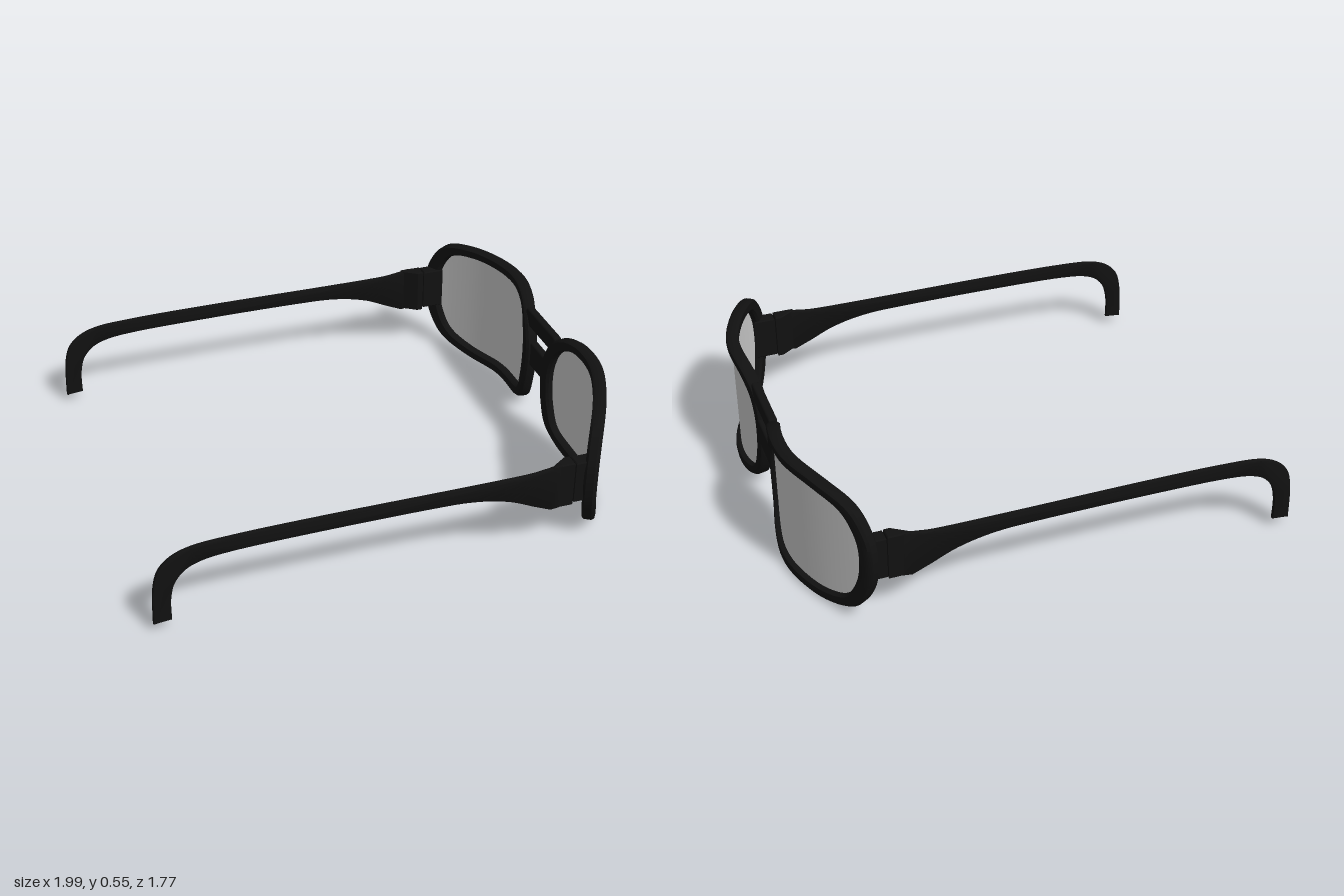
import * as THREE from 'three';
import { mergeVertices, toCreasedNormals } from 'three/addons/utils/BufferGeometryUtils.js';
import { RoundedBoxGeometry } from 'three/addons/geometries/RoundedBoxGeometry.js';

const black = new THREE.MeshStandardMaterial({ color: 0x111111 });
const lensMaterial = new THREE.MeshStandardMaterial({ color: 0xcccccc, side: THREE.DoubleSide });

// Wrap curve of the front: depth x as a function of sideways z
const wrap = new THREE.CubicInterpolant(
  [-0.1, 0, 0.1, 0.2, 0.33, 0.45, 0.6, 0.75, 0.872, 0.96],
  [0.945, 0.941, 0.945, 0.967, 0.982, 0.971, 0.918, 0.842, 0.767, 0.71], 1);
const wrapAt = z => wrap.evaluate(z)[0];

// Point on the wrapped front, pushed back by depth along the normal
function bend(z, y, depth) {
  const slope = (wrapAt(z + 0.005) - wrapAt(z - 0.005)) / 0.01;
  const len = Math.hypot(1, slope);
  return [wrapAt(z) - depth / len, y, z + depth * slope / len];
}

const v2 = points => points.map(p => new THREE.Vector2(...p));
function closedCurve(points) {
  return new THREE.CatmullRomCurve3(points.map(([z, y]) => new THREE.Vector3(z, y, 0)), true, 'centripetal');
}

// Rim edges as [z, y], matched point for point
const outer = closedCurve([
  [0.872, 0.30], [0.855, 0.41], [0.79, 0.51], [0.66, 0.548], [0.45, 0.556], [0.23, 0.545],
  [0.13, 0.495], [0.075, 0.39], [0.066, 0.29], [0.082, 0.18], [0.125, 0.075], [0.23, 0.014],
  [0.45, 0.004], [0.66, 0.01], [0.79, 0.06], [0.855, 0.17]]);
const inner = closedCurve([
  [0.815, 0.30], [0.80, 0.40], [0.745, 0.48], [0.63, 0.51], [0.45, 0.515], [0.25, 0.505],
  [0.165, 0.455], [0.127, 0.37], [0.12, 0.28], [0.135, 0.18], [0.175, 0.09], [0.27, 0.055],
  [0.45, 0.048], [0.64, 0.052], [0.75, 0.095], [0.80, 0.185]]);

// Surface from rings: around the outline (closed) by rows
function ringSurface(around, rows, closeRows, pointAt) {
  const positions = [], index = [];
  for (let i = 0; i < around; i++)
    for (let j = 0; j < rows; j++) positions.push(...pointAt(i / around, j));
  for (let i = 0; i < around; i++) {
    const n = (i + 1) % around;
    for (let j = 0; j < (closeRows ? rows : rows - 1); j++) {
      const k = (j + 1) % rows;
      const a = i * rows + j, b = n * rows + j, c = n * rows + k, d = i * rows + k;
      index.push(a, b, d, b, c, d);
    }
  }
  const g = new THREE.BufferGeometry();
  g.setAttribute('position', new THREE.Float32BufferAttribute(positions, 3));
  g.setIndex(index);
  g.computeVertexNormals();
  return g;
}

function rimGeometry() {
  // Cross-section: [fraction from inner to outer edge, depth]
  const section = [[0, 0.012], [0.15, 0.002], [0.5, 0], [0.85, 0.002], [1, 0.012],
    [1, 0.042], [0.85, 0.052], [0.15, 0.052], [0, 0.042]];
  const g = ringSurface(112, section.length, true, (t, j) => {
    const p = inner.getPoint(t).lerp(outer.getPoint(t), section[j][0]);
    return bend(p.x, p.y, section[j][1]);
  });
  return toCreasedNormals(g, 0.7);
}

function lensGeometry() {
  const center = new THREE.Vector3(0.46, 0.28, 0);
  return ringSurface(112, 11, false, (t, j) => {
    const p = center.clone().lerp(inner.getPoint(t), j / 10 * 1.02);
    return bend(p.x, p.y, 0.022);
  });
}

function templeGeometry() {
  const shape = new THREE.Shape();
  shape.moveTo(0.635, 0.39);
  shape.splineThru(v2([[0.57, 0.378], [0.48, 0.37], [0.2, 0.368], [-0.3, 0.368], [-0.65, 0.362],
    [-0.83, 0.345], [-0.925, 0.29], [-0.96, 0.2], [-0.968, 0.035]]));
  shape.lineTo(-0.897, 0.042);
  shape.splineThru(v2([[-0.895, 0.14], [-0.87, 0.22], [-0.80, 0.275], [-0.65, 0.298], [-0.3, 0.306],
    [0.1, 0.306], [0.28, 0.298], [0.42, 0.268], [0.53, 0.22], [0.60, 0.19]]));
  shape.lineTo(0.635, 0.195);
  const g = new THREE.ExtrudeGeometry(shape, {
    depth: 0.008, curveSegments: 48, bevelThickness: 0.006, bevelSize: 0.006, bevelOffset: -0.006, bevelSegments: 2 });
  g.translate(0, 0, 0.821);
  return toCreasedNormals(g, 0.6);
}

// Plan outline [x, z] pulled through a height range
function hingeGeometry(plan, bottom, top) {
  const g = new THREE.ExtrudeGeometry(new THREE.Shape(v2(plan)), {
    depth: top - bottom - 0.008, bevelThickness: 0.004, bevelSize: 0.004, bevelOffset: -0.004, bevelSegments: 1 });
  g.rotateX(Math.PI / 2);
  g.translate(0, top - 0.004, 0);
  return g;
}

// Copy reflected to the other side, with faces turned back outward
function mirrored(geometry) {
  const g = mergeVertices(geometry.clone());
  g.scale(1, 1, -1);
  g.setIndex(Array.from(g.index.array).reverse());
  return g;
}

export function createModel() {
  const model = new THREE.Group();
  model.name = 'glasses';
  const add = (name, geometry, material = black) => {
    const mesh = new THREE.Mesh(geometry, material);
    mesh.name = name;
    model.add(mesh);
    return mesh;
  };

  // Paired parts
  const parts = [
    ['Rim', rimGeometry(), black],
    ['Lens', lensGeometry(), lensMaterial],
    ['Temple', templeGeometry(), black],
    ['TempleHinge', hingeGeometry([[0.60, 0.822], [0.665, 0.778], [0.69, 0.778], [0.69, 0.834], [0.60, 0.834]], 0.195, 0.388), black],
    ['FrameHinge', hingeGeometry([[0.694, 0.778], [0.785, 0.778], [0.76, 0.835], [0.694, 0.835]], 0.205, 0.385), black],
  ];
  for (const [name, geometry, material] of parts) {
    add('near' + name, geometry, material);
    add('far' + name, mirrored(geometry), material);
  }

  // Double bridge
  add('upperBridge', new RoundedBoxGeometry(0.036, 0.075, 0.28, 3, 0.01)).position.set(0.926, 0.472, 0);
  add('lowerBridge', new RoundedBoxGeometry(0.036, 0.11, 0.19, 3, 0.01)).position.set(0.926, 0.315, 0);

  // The whole piece sits slightly turned
  model.rotation.y = 0.039;
  model.position.z = 0.016;
  const root = new THREE.Group();
  root.add(model);
  return root;
}
